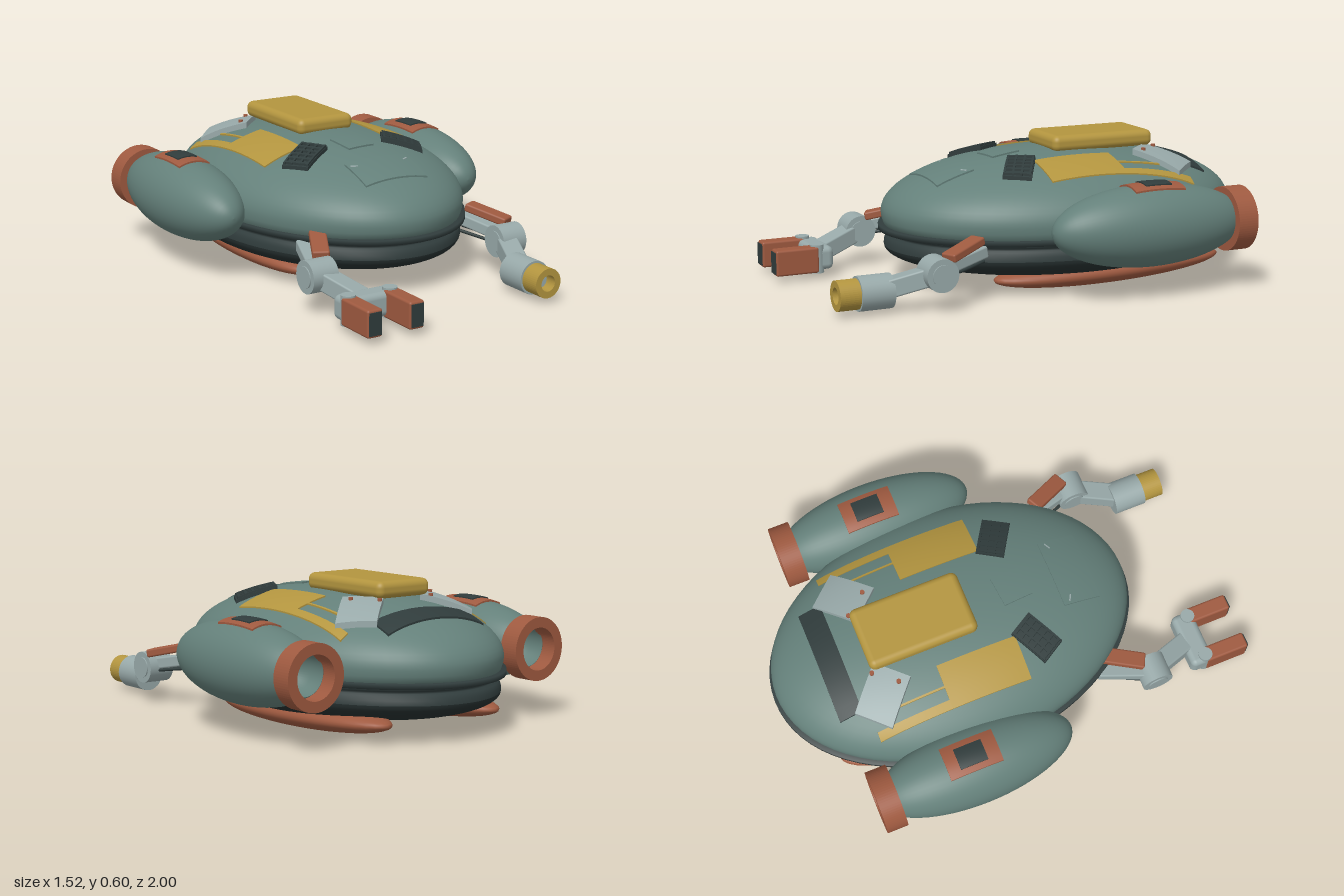
import * as THREE from 'three';
import { RoundedBoxGeometry } from 'three/addons/geometries/RoundedBoxGeometry.js';

const mat = (name, color) => {
  const m = new THREE.MeshStandardMaterial({ color });
  m.name = name;
  return m;
};

export function createModel() {
  const root = new THREE.Group();
  root.name = 'submersible';
  const green = mat('hull green', 0x64807a);
  const dark = mat('dark trim', 0x303c3c);
  const yellow = mat('yellow', 0xb3953f);
  const rust = mat('rust red', 0x9f5a40);
  const steel = mat('light steel', 0x98a9a9);
  const belly = mat('belly dark', 0x263030);

  const add = (name, geo, m, x = 0, y = 0, z = 0, parent = root) => {
    const mesh = new THREE.Mesh(geo, m);
    mesh.name = name;
    mesh.position.set(x, y, z);
    parent.add(mesh);
    return mesh;
  };
  const V = (x, y, z) => new THREE.Vector3(x, y, z);

  // Hull: lathed shells stretched to an oval
  const A = 0.537, C = 0.79, ZC = -0.195;
  const shell = (name, pts, m) => {
    const g = new THREE.LatheGeometry(pts.map(p => new THREE.Vector2(p[0], p[1])), 72);
    add(name, g, m, 0, 0, ZC).scale.set(A, 1, C);
  };
  const arc = (r, y, h, from, to) => Array.from({ length: 21 }, (_, i) => {
    const t = from + (to - from) * i / 20;
    return [Math.max(0, r * Math.cos(t)), y + h * Math.sin(t)];
  });
  const Q = Math.PI / 2;
  shell('upperHull', [[0.95, 0.23], [0.985, 0.25], [0.996, 0.275], ...arc(1, 0.3, 0.25, 0, Q)], green);
  shell('belly', arc(0.985, 0.16, 0.13, -Q, 0), belly);
  shell('lowerRim', [[0.985, 0.16], [0.983, 0.18], [0.97, 0.198], [0.945, 0.203], [0.945, 0.212],
    [0.965, 0.216], [0.965, 0.23]], dark);
  shell('flange', [[0.94, 0.228], [1.016, 0.228], [1.016, 0.249], [0.94, 0.249]], dark);

  // Plates bent to follow a curved top surface
  const hullTop = (x, z) =>
    0.3 + 0.25 * Math.sqrt(Math.max(0, 1 - (x / A) ** 2 - ((z - ZC) / C) ** 2));
  const PX = 0.588, PY = 0.295, PZ = -0.32, PR = 0.17, PL = 0.435;
  const podTop = (x, z) =>
    PY + PR * Math.sqrt(Math.max(0, 1 - ((Math.abs(x) - PX) / PR) ** 2 - ((z - PZ) / PL) ** 2));
  const plate = (name, m, x, z, w, d, t = 0.012, yaw = 0, top = hullTop, lift = 0) => {
    const g = new THREE.BoxGeometry(w, t, d, 10, 1, 10);
    g.rotateY(yaw).translate(x, lift, z);
    const p = g.attributes.position;
    for (let i = 0; i < p.count; i++) p.setY(i, p.getY(i) + top(p.getX(i), p.getZ(i)));
    g.computeVertexNormals();
    return add(name, g, m);
  };

  // Roof fittings
  add('roofPack', new RoundedBoxGeometry(0.272, 0.07, 0.476, 5, 0.028), yellow, 0, 0.57, -0.352);
  plate('rearVisor', dark, 0, -0.73, 0.5, 0.1, 0.016);
  plate('frontHatch', green, 0, 0.347, 0.3, 0.165, 0.014);
  plate('centreHatch', green, 0, 0.085, 0.13, 0.13, 0.014, 0.1);

  for (const s of [-1, 1]) {
    plate('yellowPanel', yellow, s * 0.295, -0.158, 0.18, 0.35);
    plate('yellowStripe', yellow, s * 0.367, -0.493, 0.036, 0.32);
    plate('yellowLine', yellow, s * 0.295, -0.43, 0.008, 0.2);
    plate('hatchBracket', steel, s * 0.125, 0.3, 0.03, 0.006, 0.018, s * 0.5);
    plate('rearPanel', steel, s * 0.23, -0.58, 0.21, 0.165, 0.05, s * 0.75);
    for (const [x, z] of [[0.135, -0.59], [0.21, -0.5]])
      add('rivet', new THREE.CylinderGeometry(0.01, 0.01, 0.012, 10), rust, s * x, hullTop(x, z) + 0.028, z);

    // Grille with raised bars
    const yaw = -s * 0.54;
    plate('grille', dark, s * 0.24, 0.1, 0.175, 0.12, 0.03, yaw);
    const along = (u, v) => [s * 0.24 + u * Math.cos(yaw) + v * Math.sin(yaw),
      0.1 - u * Math.sin(yaw) + v * Math.cos(yaw)];
    for (let i = 0; i < 6; i++) {
      const [x, z] = along(-0.075 + i * 0.03, 0);
      plate('grilleBar', dark, x, z, 0.01, 0.115, 0.012, yaw, hullTop, 0.018);
    }
    for (const v of [-0.053, -0.018, 0.018, 0.053]) {
      const [x, z] = along(0, v);
      plate('grilleRail', dark, x, z, 0.165, 0.009, 0.012, yaw, hullTop, 0.018);
    }

    // Engine pod: hollow at the back, lathe axis turned to point forward
    const cut = -0.37;
    const podPts = [[0, -0.2], [0.06, -0.23], [0.085, -0.3], [0.088, cut]];
    const t0 = Math.asin(cut / PL);
    for (let i = 0; i <= 28; i++) {
      const t = t0 + (Q - t0) * i / 28;
      podPts.push([Math.max(0, PR * Math.cos(t)), PL * Math.sin(t)]);
    }
    const lathe = (pts, n) => new THREE.LatheGeometry(pts.map(p => new THREE.Vector2(p[0], p[1])), n).rotateX(Q);
    add('enginePod', lathe(podPts, 48), green, s * PX, PY, PZ);
    const ring = new THREE.Shape().absarc(0, 0, 0.134, 0, Math.PI * 2);
    ring.holes.push(new THREE.Path().absarc(0, 0, 0.09, 0, Math.PI * 2, true));
    add('nozzleRing', new THREE.ExtrudeGeometry(ring, { depth: 0.09, bevelEnabled: false, curveSegments: 40 }),
      rust, s * PX, 0.29, -0.76);
    plate('podFrame', rust, s * PX, -0.335, 0.142, 0.23, 0.014, 0, podTop);
    plate('podVent', dark, s * 0.59, -0.338, 0.09, 0.12, 0.014, 0, podTop, 0.005);

    // Landing skid
    const skid = add('skid', new THREE.SphereGeometry(1, 40, 24), rust, s * 0.285, 0.062, -0.295);
    skid.scale.set(0.14, 0.06, 0.53);
    skid.rotation.x = 0.025;
  }

  // Arms
  const link = (name, a, b, w, h, m, parent) => {
    const mesh = add(name, new RoundedBoxGeometry(w, h, a.distanceTo(b), 2, 0.008), m, 0, 0, 0, parent);
    mesh.position.copy(a).add(b).multiplyScalar(0.5);
    mesh.lookAt(b);
  };
  const tube = (name, r, len, axis, m, x, y, z, parent) => {
    const g = new THREE.CylinderGeometry(r, r, len, 28);
    if (axis === 'x') g.rotateZ(Q);
    if (axis === 'z') g.rotateX(Q);
    return add(name, g, m, x, y, z, parent);
  };
  const arm = (name, s) => {
    const g = new THREE.Group();
    g.name = name;
    root.add(g);
    const ex = s * 0.46;
    link('upperArm', V(s * 0.39, 0.21, 0.33), V(ex, 0.17, 0.54), 0.06, 0.05, steel, g);
    for (const o of [-0.03, 0.03])
      link('armRod', V(s * 0.37 + o, 0.17, 0.33), V(ex + o, 0.14, 0.54), 0.014, 0.014, dark, g);
    const rx = s > 0 ? 0.455 : -0.385;
    link('armCover', V(rx - s * 0.045, 0.262, 0.36), V(rx + s * 0.04, 0.22, 0.53), 0.07, 0.035, rust, g);
    tube('elbow', 0.068, 0.115, 'x', steel, ex, 0.155, 0.56, g);
    tube('elbowCap', 0.045, 0.125, 'x', steel, ex, 0.155, 0.56, g);
    link('forearm', V(s * 0.45, 0.15, 0.57), V(s * 0.375, 0.09, 0.77), 0.085, 0.075, steel, g);
    return g;
  };

  // Left arm carries a lamp-like nozzle
  const left = arm('leftArm', 1);
  tube('wrist', 0.071, 0.14, 'z', steel, 0.375, 0.085, 0.8, left);
  const rim = new THREE.Shape().absarc(0, 0, 0.062, 0, Math.PI * 2);
  rim.holes.push(new THREE.Path().absarc(0, 0, 0.034, 0, Math.PI * 2, true));
  add('nozzle', new THREE.ExtrudeGeometry(rim, { depth: 0.09, bevelEnabled: false, curveSegments: 24 }),
    yellow, 0.375, 0.085, 0.868, left);
  tube('nozzleCore', 0.034, 0.03, 'z', steel, 0.375, 0.085, 0.89, left);

  // Right arm carries a two-finger claw
  const right = arm('rightArm', -1);
  add('clawBase', new RoundedBoxGeometry(0.245, 0.1, 0.1, 3, 0.025), steel, -0.38, 0.085, 0.785, right);
  for (const x of [-0.473, -0.283]) {
    tube('knuckle', 0.03, 0.122, 'y', steel, x, 0.085, 0.805, right);
    add('finger', new RoundedBoxGeometry(0.068, 0.112, 0.19, 2, 0.01), rust, x, 0.083, 0.9, right);
    add('fingerPad', new THREE.BoxGeometry(0.054, 0.092, 0.008), dark, x, 0.083, 0.995, right);
  }
  return root;
}
